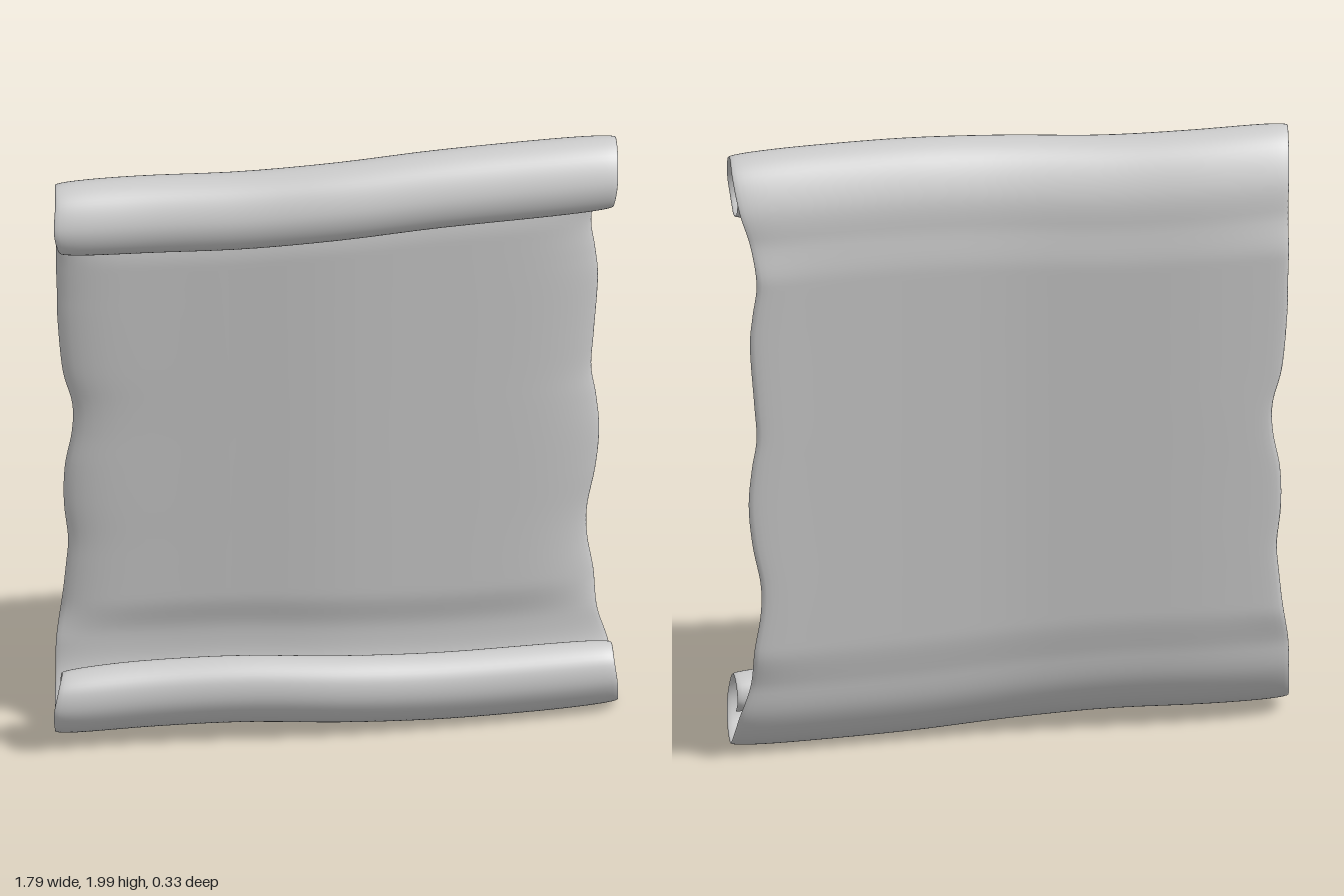
import * as THREE from 'three';

// Stations of the rolled end, from the flat sheet to the inner tip: [z, y, left-hand x, right-hand x]
const ROLL = [
  [-0.098, 1.72, -0.855, 0.84], [-0.083, 1.83, -0.86, 0.872], [-0.03, 1.925, -0.87, 0.885],
  [0.04, 1.963, -0.88, 0.88], [0.108, 1.935, -0.89, 0.875], [0.148, 1.86, -0.9, 0.868],
  [0.136, 1.79, -0.885, 0.86], [0.085, 1.756, -0.865, 0.86], [0.035, 1.778, -0.86, 0.86],
  [0.018, 1.825, -0.86, 0.86], [0.045, 1.865, -0.86, 0.86],
];
// Wavy side edges of the flat sheet, bottom to top
const SHEET = [
  [0.4, -0.835, 0.832], [0.52, -0.822, 0.812], [0.62, -0.815, 0.812], [0.75, -0.828, 0.838],
  [0.88, -0.825, 0.85], [1.0, -0.803, 0.84], [1.1, -0.802, 0.825], [1.22, -0.832, 0.833],
  [1.4, -0.848, 0.846], [1.5, -0.85, 0.838], [1.6, -0.853, 0.825],
];

// Smooth wobble across the width, values spaced evenly from x = -0.9 to 0.9
function wobble(values) {
  const curve = new THREE.SplineCurve(values.map((v, i) => new THREE.Vector2(i, v)));
  return (x) => curve.getPoint(THREE.MathUtils.clamp((x + 0.9) / 1.8, 0, 1)).y;
}
const lift = wobble([-0.008, -0.014, -0.016, 0, 0.016, 0.02, 0.02]);
const push = wobble([-0.03, -0.034, -0.018, 0, -0.004, -0.015, -0.028]);

function scrollGeometry() {
  const lower = ROLL.map(([z, y, l, r]) => [z, 2 - y, l, r]).reverse();
  const stations = [...lower, ...SHEET.map(([y, l, r]) => [-0.098, y, l, r]), ...ROLL];
  const leftEdge = new THREE.CatmullRomCurve3(
    stations.map(([z, y, l]) => new THREE.Vector3(l, y, z)), false, 'catmullrom');
  const rightEdge = new THREE.CatmullRomCurve3(
    stations.map(([z, y, , r]) => new THREE.Vector3(r, y, z)), false, 'catmullrom');

  const ROWS = 200, RING = 64;
  const pos = [], index = [];
  for (let j = 0; j <= ROWS; j++) {
    const t = j / ROWS;
    const a = leftEdge.getPoint(t), b = rightEdge.getPoint(t);
    // outward direction of the profile, in the yz plane
    const p = rightEdge.getPoint(Math.max(0, t - 0.001)), q = rightEdge.getPoint(Math.min(1, t + 0.001));
    const len = Math.hypot(q.y - p.y, q.z - p.z);
    const nz = -(q.y - p.y) / len, ny = (q.z - p.z) / len;

    const away = Math.abs(a.y - 1);
    const flat = 1 - THREE.MathUtils.smoothstep(away, 0.6, 0.74);
    const rollSide = Math.sign(a.y - 1) * THREE.MathUtils.smoothstep(away, 0, 0.75);
    const tip = Math.sqrt(Math.min(1, Math.min(j, ROWS - j) / 4));
    const half = (0.014 + 0.016 * flat) * tip;

    // lens-shaped cross-section: full in the middle, thin at both side edges
    for (let i = 0; i < RING; i++) {
      const ang = (i / RING) * Math.PI * 2;
      const u = Math.cos(ang);
      const x = (a.x + b.x) / 2 + (u * (b.x - a.x)) / 2;
      const off = half * Math.sign(Math.sin(ang)) * Math.sqrt(Math.max(0, 1 - u ** 8))
        + 0.022 * flat * u ** 8;
      pos.push(x, a.y + ny * off + rollSide * lift(x), a.z + nz * off + push(x));
    }
  }
  for (let j = 0; j < ROWS; j++) {
    for (let i = 0; i < RING; i++) {
      const k = (i + 1) % RING, r = j * RING, s = r + RING;
      index.push(r + i, r + k, s + i, r + k, s + k, s + i);
    }
  }
  const geo = new THREE.BufferGeometry();
  geo.setAttribute('position', new THREE.Float32BufferAttribute(pos, 3));
  geo.setIndex(index);
  geo.computeVertexNormals();
  return geo;
}

export function createModel() {
  const group = new THREE.Group();
  group.name = 'scroll';
  // one continuous sheet, curled forward at the top and bottom
  const sheet = new THREE.Mesh(
    scrollGeometry(),
    new THREE.MeshStandardMaterial({ color: 0xcccccc, side: THREE.DoubleSide }));
  sheet.name = 'rolledSheet';
  group.add(sheet);
  return group;
}
